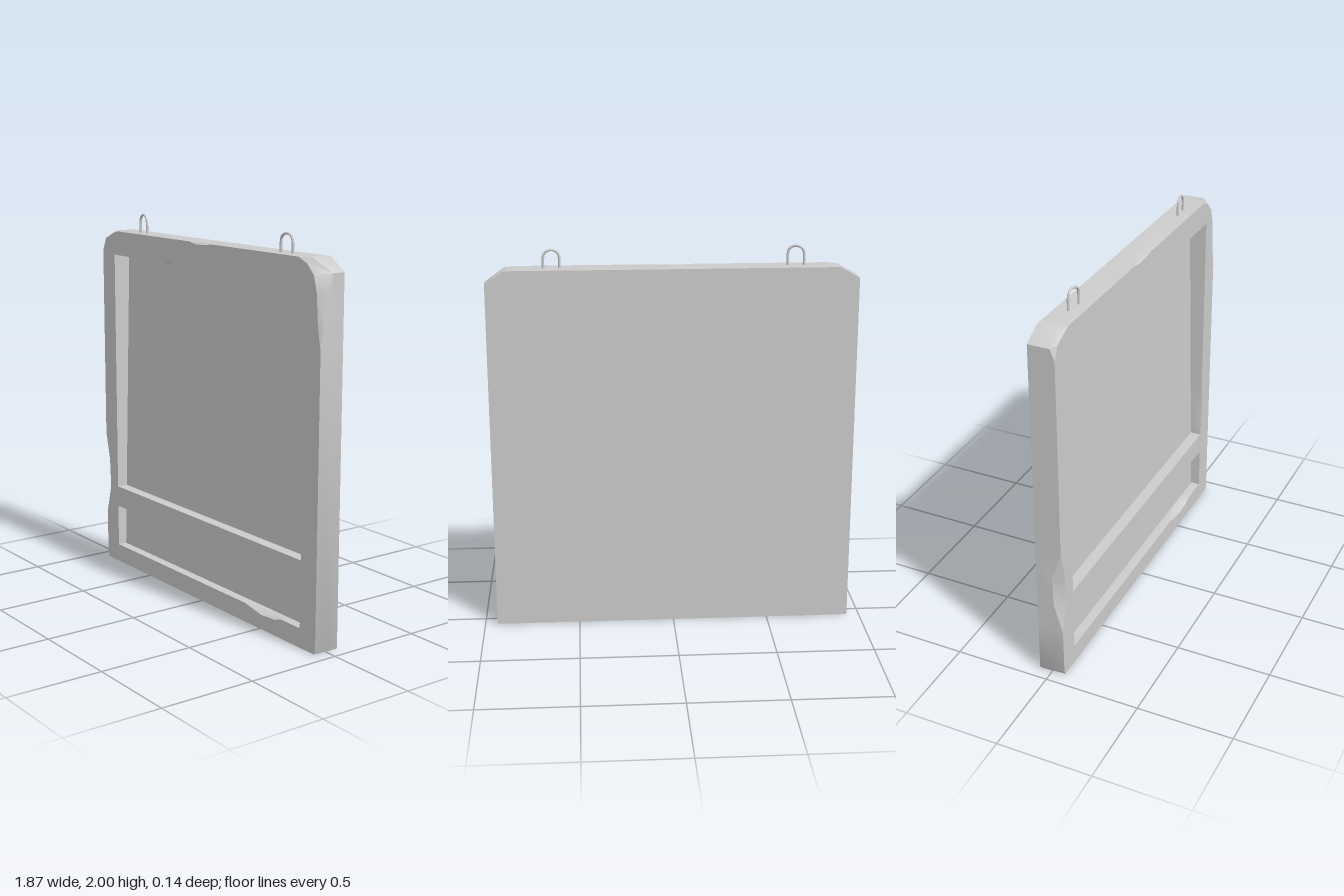
import * as THREE from 'three';
import { toCreasedNormals } from 'three/addons/utils/BufferGeometryUtils.js';

const FRONT = 0.068, BACK = -0.068;
const material = new THREE.MeshStandardMaterial({ color: 0xcccccc, side: THREE.DoubleSide });

// The sunken panels share one plane that leans back towards the top
const panelZ = (y) => 0.0215 - 0.0277 * y;

// Rim points: [x, y] for a plain corner, or
// [frontX, frontY, sideX, sideY, sideZ] where a chip cuts the front edge.
const OUTLINE = [
  // bottom edge and lower corners
  [-0.922, 0, -0.93, 0, -0.02], [0.922, 0, 0.93, 0, -0.02],
  [0.932, 0.022, 0.935, 0.01, -0.02],
  // large broken corner, upper left of the model
  [0.935, 1.48], [0.914, 1.58, 0.935, 1.58, 0.05], [0.902, 1.74, 0.935, 1.74, 0.018],
  [0.88, 1.82, 0.935, 1.83, 0], [0.83, 1.87, 0.84, 1.895, 0.04], [0.765, 1.895],
  // shallow nick in the top
  [0.09, 1.895], [0.03, 1.887, 0.03, 1.895, 0.056], [-0.04, 1.884, -0.04, 1.895, 0.054], [-0.11, 1.895],
  // worn corner, upper right of the model
  [-0.79, 1.895], [-0.83, 1.883, -0.835, 1.895, 0.035], [-0.905, 1.85, -0.935, 1.84, 0.045], [-0.935, 1.78],
  // long chip in the side
  [-0.935, 0.74], [-0.9, 0.59, -0.935, 0.59, 0.02], [-0.892, 0.43, -0.935, 0.43, 0.02], [-0.935, 0.27],
  [-0.932, 0.022, -0.935, 0.01, -0.02],
];
const LARGE_PANEL = [
  [-0.818, 0.445], [-0.818, 1.765],
  [-0.345, 1.765], [-0.29, 1.774, -0.29, 1.765, 0.04], [-0.22, 1.765],
  [0.815, 1.765], [0.815, 0.78],
  [0.826, 0.63, 0.815, 0.63, 0.03], [0.82, 0.5, 0.815, 0.5, 0.04], [0.815, 0.445],
];
const SMALL_PANEL = [
  [-0.818, 0.1], [-0.818, 0.33], [0.815, 0.33], [0.815, 0.1],
  [0.67, 0.1], [0.62, 0.083, 0.62, 0.1, 0.035], [0.51, 0.076, 0.51, 0.1, 0.025], [0.38, 0.1],
];

const frontPoints = (rim) => rim.map(([x, y]) => new THREE.Vector2(x, y));
const deepPoints = (rim) => rim.map(([x, y, sx = x, sy = y]) => new THREE.Vector2(sx, sy));

function add(group, name, geometry) {
  const mesh = new THREE.Mesh(geometry, material);
  mesh.name = name;
  group.add(mesh);
  return mesh;
}

// Wall from a deep surface, through the chip line, to the front edge;
// firstEdge = 1 leaves the first edge of the rim open
function wall(rim, deepZ, firstEdge = 0) {
  const deep = deepPoints(rim).map((p) => [p.x, p.y, deepZ(p.y)]);
  const chip = rim.map(([x, y, sx = x, sy = y, sz = FRONT]) => [sx, sy, sz]);
  const front = rim.map(([x, y]) => [x, y, FRONT]);
  const positions = [];
  for (const [a, b] of [[deep, chip], [chip, front]]) {
    for (let i = firstEdge; i < rim.length; i++) {
      const j = (i + 1) % rim.length;
      for (const [p, q, r] of [[a[i], a[j], b[j]], [a[i], b[j], b[i]]]) {
        const [P, Q, R] = [p, q, r].map((v) => new THREE.Vector3(...v));
        // leave out the empty triangles where no chip exists
        if (Q.sub(P).cross(R.sub(P)).length() > 1e-7) positions.push(...p, ...q, ...r);
      }
    }
  }
  const geometry = new THREE.BufferGeometry();
  geometry.setAttribute('position', new THREE.Float32BufferAttribute(positions, 3));
  return toCreasedNormals(geometry, 0.65);
}

// Leaning floor of a sunken panel
function panelFloor(rim) {
  const geometry = new THREE.ShapeGeometry(new THREE.Shape(deepPoints(rim)));
  const p = geometry.attributes.position;
  for (let i = 0; i < p.count; i++) p.setZ(i, panelZ(p.getY(i)));
  geometry.computeVertexNormals();
  return geometry;
}

// Wire loop standing on the top edge, slightly twisted
function hanger(group, name, x, height, twist) {
  const base = 1.885, r = 0.04;
  const points = [[-r, 0], [-r, height - 0.045]];
  for (let i = 1; i < 6; i++) {
    const a = Math.PI * (1 - i / 6);
    points.push([r * Math.cos(a), height - 0.045 + 0.038 * Math.sin(a)]);
  }
  points.push([r, height - 0.045], [r, 0]);
  const path = new THREE.CatmullRomCurve3(
    points.map(([px, py]) => new THREE.Vector3(px, py, twist * Math.sin((px / r) * 1.6))));
  const mesh = add(group, name, new THREE.TubeGeometry(path, 32, 0.0065, 8));
  mesh.position.set(x, base, 0.004);
}

export function createModel() {
  const model = new THREE.Group();
  model.name = 'hangingBoard';

  // Front frame with two openings
  const face = new THREE.Shape(frontPoints(OUTLINE));
  face.holes = [LARGE_PANEL, SMALL_PANEL].map((rim) => new THREE.Path(frontPoints(rim)));
  add(model, 'frontFrame', new THREE.ShapeGeometry(face).translate(0, 0, FRONT));

  // Outer rim, open underneath, and back
  add(model, 'outerRim', wall(OUTLINE, () => BACK, 1));
  const back = new THREE.ShapeGeometry(new THREE.Shape(deepPoints(OUTLINE))).translate(0, 0, BACK);
  back.index.array.reverse();
  back.computeVertexNormals();
  add(model, 'back', back);

  // Sunken panels
  for (const [name, rim] of [['largePanel', LARGE_PANEL], ['smallPanel', SMALL_PANEL]]) {
    add(model, name + 'Walls', wall(rim, panelZ));
    add(model, name, panelFloor(rim));
  }

  // Hanging loops
  hanger(model, 'rightHanger', -0.62, 0.115, 0.006);
  hanger(model, 'leftHanger', 0.604, 0.108, -0.003);
  return model;
}
